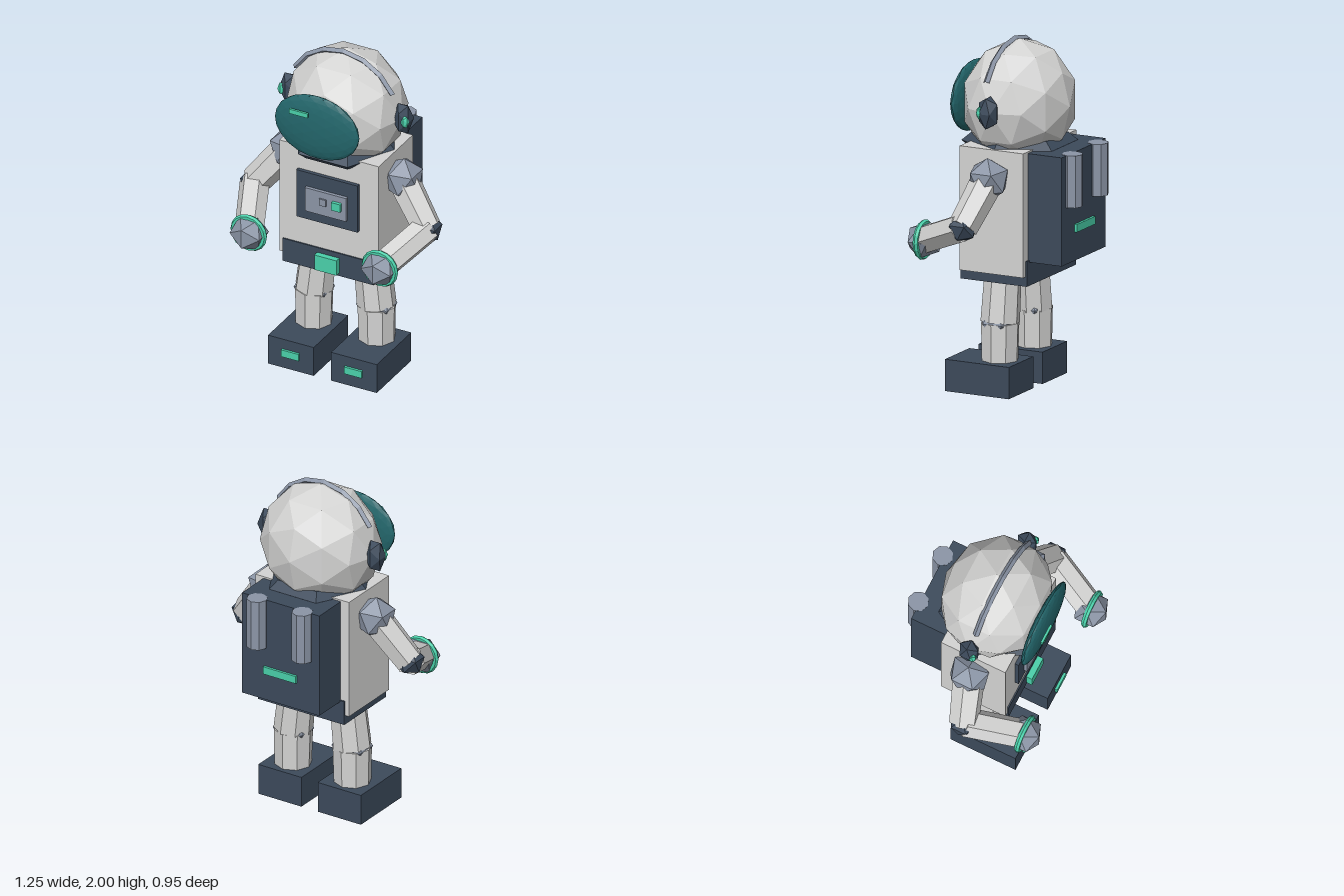
import * as THREE from 'three';

const mat = (name, color) => {
  const m = new THREE.MeshStandardMaterial({ color });
  m.name = name;
  return m;
};

export function createModel() {
  const white = mat('suit white', 0xd4d4d3);
  const grey = mat('joint grey', 0x8b95a6);
  const navy = mat('dark navy', 0x3c4a5b);
  const green = mat('signal green', 0x4ad0aa);
  const teal = mat('visor teal', 0x23666b);

  const model = new THREE.Group();
  model.name = 'astronaut';

  // Faceted mesh: split faces so every facet gets its own normal
  const add = (parent, name, geometry, material, x = 0, y = 0, z = 0) => {
    const g = geometry.index ? geometry.toNonIndexed() : geometry;
    g.computeVertexNormals();
    const mesh = new THREE.Mesh(g, material);
    mesh.name = name;
    mesh.position.set(x, y, z);
    parent.add(mesh);
    return mesh;
  };
  // Box given by its low and high corners
  const box = (parent, name, material, x0, x1, y0, y1, z0, z1) =>
    add(parent, name, new THREE.BoxGeometry(x1 - x0, y1 - y0, z1 - z0), material,
      (x0 + x1) / 2, (y0 + y1) / 2, (z0 + z1) / 2);
  // Faceted ball
  const ball = (parent, name, material, r, detail, x, y, z) =>
    add(parent, name, new THREE.IcosahedronGeometry(r, detail), material, x, y, z);
  // Tapered limb from a to b
  const limb = (parent, name, a, b, ra, rb, sides) => {
    const p = new THREE.Vector3(...a), q = new THREE.Vector3(...b);
    const dir = q.clone().sub(p);
    const mesh = add(parent, name, new THREE.CylinderGeometry(rb, ra, dir.length(), sides), white);
    mesh.position.copy(p).lerp(q, 0.5);
    mesh.quaternion.setFromUnitVectors(new THREE.Vector3(0, 1, 0), dir.normalize());
    return mesh;
  };
  const group = (name) => {
    const g = new THREE.Group();
    g.name = name;
    model.add(g);
    return g;
  };

  // Torso and belt
  const body = group('body');
  box(body, 'torso', white, -0.315, 0.315, 0.7, 1.415, -0.19, 0.212);
  box(body, 'belt', navy, -0.29, 0.29, 0.645, 0.79, -0.2, 0.22);
  box(body, 'buckle', green, -0.07, 0.07, 0.665, 0.76, 0.215, 0.255);

  // Chest control panel
  box(body, 'chestPlate', navy, -0.195, 0.193, 0.967, 1.268, 0.2, 0.235);
  box(body, 'controlPanel', grey, -0.13, 0.13, 1.03, 1.18, 0.23, 0.255);
  box(body, 'greyButton', grey, -0.036, 0.006, 1.096, 1.138, 0.25, 0.265);
  box(body, 'greenButton', green, 0.048, 0.104, 1.092, 1.142, 0.25, 0.275);

  // Hexagonal collar: two tapered rings
  for (const [name, top, bottom, y] of [['collarLower', 0.33, 0.275, 1.383], ['collarUpper', 0.275, 0.33, 1.428]]) {
    const ring = add(body, name, new THREE.CylinderGeometry(top, bottom, 0.045, 6).rotateY(Math.PI / 6), navy, 0, y, 0);
    ring.scale.x = 0.95;
  }

  // Helmet
  const head = group('head');
  ball(head, 'helmet', white, 1, 1, 0, 1.63, 0).scale.set(0.353, 0.36, 0.317);
  ball(head, 'visor', teal, 1, 3, -0.025, 1.625, 0.305).scale.set(0.268, 0.202, 0.043);
  box(head, 'visorGlint', green, -0.168, -0.05, 1.71, 1.738, 0.358, 0.372);
  const half = THREE.MathUtils.degToRad(62);
  const crest = new THREE.TorusGeometry(0.353, 0.018, 4, 6, half * 2).rotateZ(Math.PI / 2 - half);
  add(head, 'helmetCrest', crest, grey, 0, 1.63, 0.035).rotation.y = -0.03;

  // Backpack
  const pack = group('backpack');
  box(pack, 'packCase', navy, -0.26, 0.26, 0.78, 1.405, -0.405, -0.185);
  box(pack, 'packLight', green, -0.11, 0.11, 0.945, 0.99, -0.42, -0.4);

  for (const s of [1, -1]) {
    const side = s > 0 ? 'left' : 'right';

    // Oxygen tube
    add(pack, side + 'Tube', new THREE.CylinderGeometry(0.06, 0.06, 0.3, 8), grey, s * 0.152, 1.257, -0.415);

    // Earpiece
    ball(head, side + 'Ear', navy, 1, 0, s * 0.36, 1.637, 0.008).scale.set(0.06, 0.104, 0.066);
    ball(head, side + 'EarLight', green, 1, 0, s * 0.39, 1.64, 0.045).scale.set(0.026, 0.042, 0.022);

    // Arm
    const arm = group(side + 'Arm');
    const shoulder = [s * 0.355, 1.255, 0.008];
    const elbow = [s * 0.547, 1.01, 0.07];
    const hand = [s * 0.416, 0.876, 0.385];
    ball(arm, 'shoulder', grey, 0.125, 0, ...shoulder).rotation.z = s * 0.45;
    limb(arm, 'upperArm', shoulder, elbow, 0.094, 0.085, 6);
    ball(arm, 'elbow', navy, 0.088, 0, ...elbow).rotation.z = s * 0.3;
    limb(arm, 'forearm', elbow, hand, 0.086, 0.084, 6);
    ball(arm, 'hand', grey, 0.11, 0, hand[0], hand[1], 0.38);
    add(arm, 'cuffRing', new THREE.TorusGeometry(0.098, 0.017, 6, 16), green, ...hand);

    // Leg
    const leg = group(side + 'Leg');
    const knee = [s * 0.198, 0.4, 0.018];
    limb(leg, 'thigh', [s * 0.165, 0.7, 0.016], knee, 0.105, 0.112, 8);
    ball(leg, 'knee', grey, 0.116, 0, ...knee);
    limb(leg, 'shin', knee, [s * 0.2, 0.16, 0.018], 0.112, 0.106, 8);

    // Boot
    const x = s * 0.2;
    box(leg, 'boot', navy, x - 0.145, x + 0.145, 0, 0.183, -0.115, 0.29);
    box(leg, 'bootLight', green, x - 0.056, x + 0.056, 0.077, 0.121, 0.28, 0.305);
  }

  return model;
}
